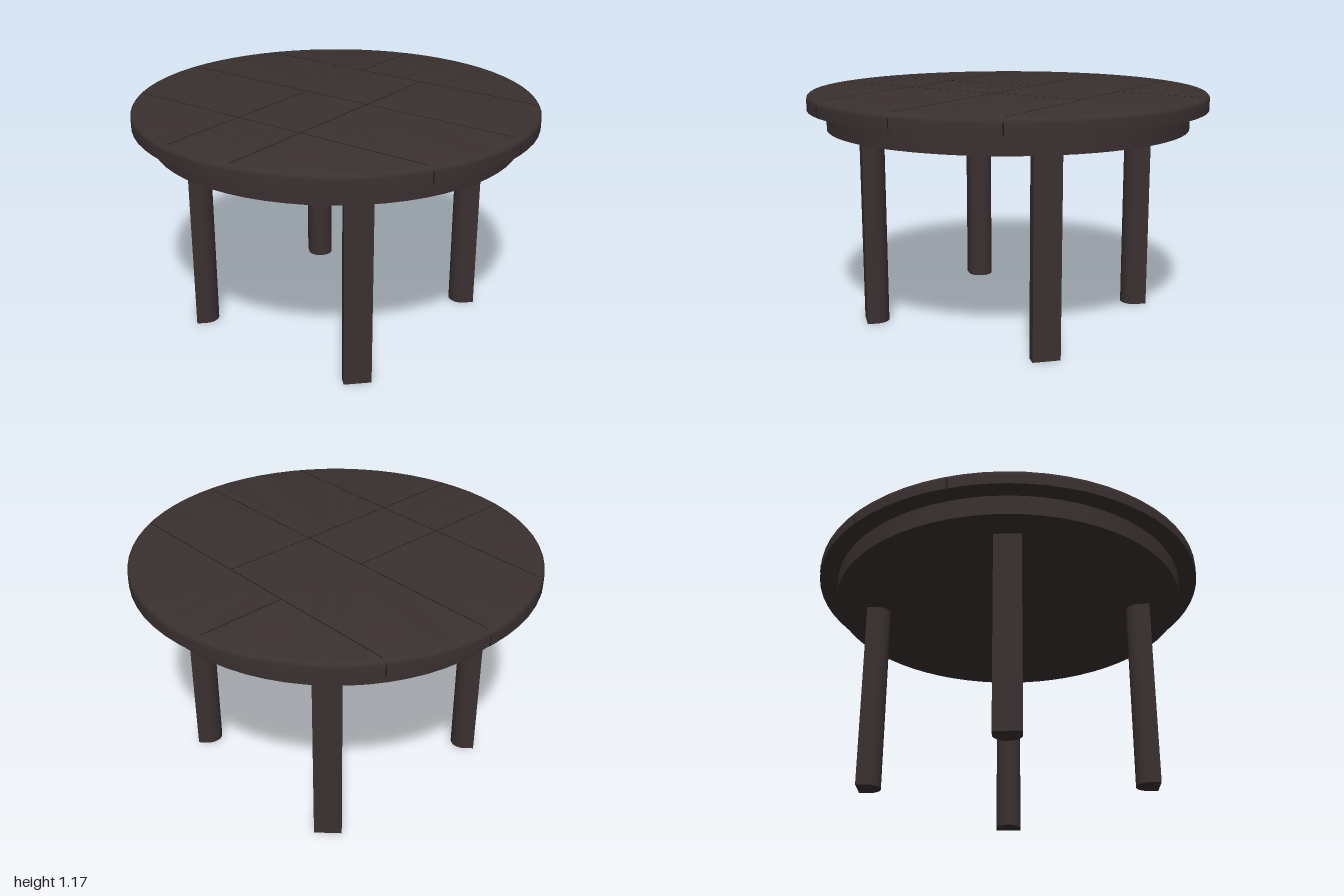
import * as THREE from 'three';
import { toCreasedNormals } from 'three/addons/utils/BufferGeometryUtils.js';

export function createModel() {
  const table = new THREE.Group();
  table.name = 'roundTable';
  const wood = new THREE.MeshStandardMaterial({ color: 0x3a3030 });
  wood.name = 'darkWood';
  const gap = new THREE.MeshStandardMaterial({ color: 0x1c1818 });
  gap.name = 'seamBlack';

  const add = (name, geometry, material, parent = table) => {
    const mesh = new THREE.Mesh(geometry, material);
    mesh.name = name;
    parent.add(mesh);
    return mesh;
  };

  // Round top with a softened upper edge
  const bottom = 1.09, top = 1.167, bevel = 0.024;
  const profile = [new THREE.Vector2(0, bottom), new THREE.Vector2(1, bottom)];
  for (let i = 0; i <= 5; i++) {
    const a = (i / 5) * Math.PI / 2;
    profile.push(new THREE.Vector2(1 - bevel + bevel * Math.cos(a), top - bevel + bevel * Math.sin(a)));
  }
  profile.push(new THREE.Vector2(0, top));
  add('tableTop', toCreasedNormals(new THREE.LatheGeometry(profile, 64), 0.6), wood);

  // Apron ring under the top
  const apron = add('apron', new THREE.CylinderGeometry(0.907, 0.907, 0.1, 64), wood);
  apron.position.y = 1.04;

  // Hairline seams between the planks
  const seams = new THREE.Group();
  seams.name = 'plankSeams';
  table.add(seams);
  const w = 0.004;
  const rowZ = [-0.51, -0.025, 0.495];
  for (const z of rowZ) {
    const chord = 2 * Math.sqrt(1 - z * z);
    const line = add('rowSeam', new THREE.BoxGeometry(chord - 0.05, 0.002, w), gap, seams);
    line.position.set(0, top - 0.0005, z);
    const edge = add('rimSeam', new THREE.BoxGeometry(chord + 0.001, 0.053, w), gap, seams);
    edge.position.set(0, 1.117, z);
  }
  // Butt joints: [x, from z, to z]
  const joints = [
    [-0.2, -0.955, -0.51], [0.17, -0.51, -0.025], [-0.2, -0.025, 0.495],
    [0.17, -0.025, 0.495], [-0.2, 0.495, 0.955], [0.17, 0.495, 0.96],
  ];
  for (const [x, z0, z1] of joints) {
    const line = add('jointSeam', new THREE.BoxGeometry(w, 0.002, z1 - z0), gap, seams);
    line.position.set(x, top - 0.0005, (z0 + z1) / 2);
  }

  // D-shaped legs: flat face outward on the diagonal, round side inward
  const r = 0.067, depth = 0.05;
  const section = new THREE.Shape();
  section.moveTo(0, -r);
  section.lineTo(0, r);
  section.lineTo(-depth, r);
  section.absarc(-depth, 0, r, Math.PI / 2, Math.PI * 1.5, false);
  section.closePath();
  const legShape = new THREE.ExtrudeGeometry(section, { depth: 0.99, bevelEnabled: false, curveSegments: 14 });
  legShape.rotateX(-Math.PI / 2);
  const legGeometry = toCreasedNormals(legShape, 0.6);
  for (const sx of [-1, 1]) {
    for (const sz of [-1, 1]) {
      const leg = add(`${sz > 0 ? 'front' : 'back'}${sx > 0 ? 'Left' : 'Right'}Leg`, legGeometry, wood);
      leg.position.set(0.5225 * sx, 0, 0.5325 * sz);
      leg.rotation.y = Math.atan2(-sz, sx);
    }
  }
  return table;
}
